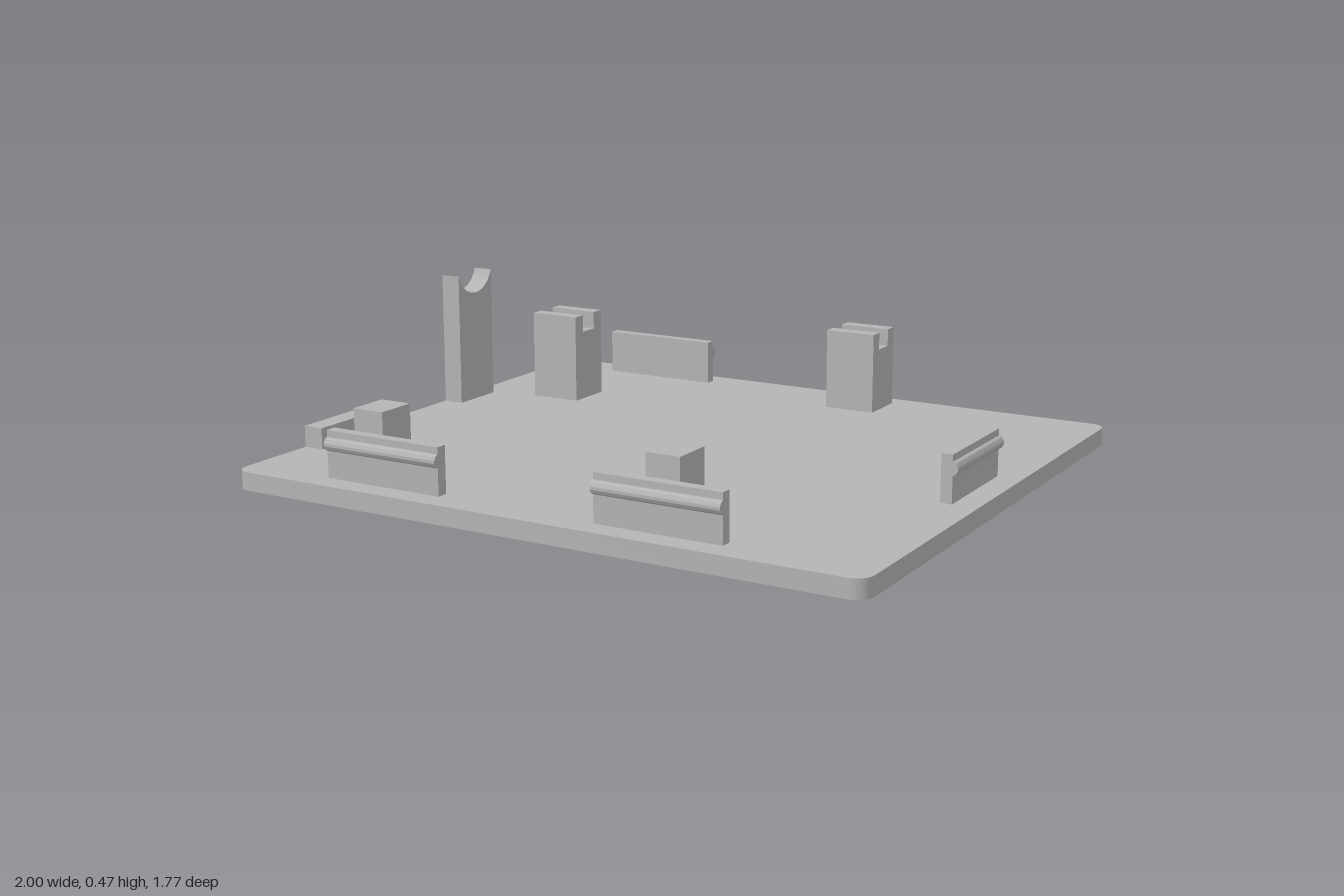
import * as THREE from 'three';
import { toCreasedNormals } from 'three/addons/utils/BufferGeometryUtils.js';

const FLOOR = 0.055; // top of the base plate

export function createModel() {
  const group = new THREE.Group();
  const grey = new THREE.MeshStandardMaterial({ color: 0xb4b4b4 });
  grey.name = 'plasticGrey';

  const add = (name, geometry) => {
    const mesh = new THREE.Mesh(geometry, grey);
    mesh.name = name;
    group.add(mesh);
    return mesh;
  };

  // Extrudes a profile, centred along its length
  const extrude = (shape, length) => {
    const g = new THREE.ExtrudeGeometry(shape, { depth: length, bevelEnabled: false, curveSegments: 16 });
    g.translate(0, 0, -length / 2);
    return toCreasedNormals(g, 0.6);
  };

  // Block standing on the plate
  const block = (name, x0, x1, z0, z1, top) => {
    const h = top - FLOOR;
    add(name, new THREE.BoxGeometry(x1 - x0, h, z1 - z0))
      .position.set((x0 + x1) / 2, FLOOR + h / 2, (z0 + z1) / 2);
  };

  // Base plate with rounded corners
  const X = 1, Z = 0.885, R = 0.05;
  const plate = new THREE.Shape();
  plate.absarc(X - R, Z - R, R, 0, Math.PI / 2);
  plate.absarc(-X + R, Z - R, R, Math.PI / 2, Math.PI);
  plate.absarc(-X + R, -Z + R, R, Math.PI, Math.PI * 1.5);
  plate.absarc(X - R, -Z + R, R, Math.PI * 1.5, Math.PI * 2);
  const base = add('basePlate', extrude(plate, FLOOR));
  base.rotation.x = -Math.PI / 2;
  base.position.y = FLOOR / 2;

  // Snap clips: thin wall with a rounded bead on the outer face
  const clip = (name, x, z, length, turn) => {
    const s = new THREE.Shape();
    s.moveTo(0, FLOOR);
    s.lineTo(0.034, FLOOR);
    s.lineTo(0.034, 0.133);
    s.absarc(0.029, 0.155, 0.0205, -1.32, 1.32);
    s.lineTo(0.034, 0.177);
    s.lineTo(0.034, 0.195);
    s.lineTo(0, 0.195);
    const mesh = add(name, extrude(s, length));
    mesh.position.set(x, 0, z);
    mesh.rotation.y = turn;
  };
  clip('frontClipRight', -0.517, 0.78, 0.388, -Math.PI / 2);
  clip('frontClipLeft', 0.375, 0.78, 0.388, -Math.PI / 2);
  clip('backClip', -0.575, -0.787, 0.388, Math.PI / 2);
  clip('sideClip', 0.89, 0.012, 0.335, 0);

  // Slotted posts
  const post = (name, x, z, top) => {
    const w = 0.077, n = 0.033, low = top - 0.055;
    const s = new THREE.Shape([
      [-w, FLOOR], [w, FLOOR], [w, top], [n, top],
      [n, low], [-n, low], [-n, top], [-w, top],
    ].map(([a, b]) => new THREE.Vector2(a, b)));
    const mesh = add(name, extrude(s, 0.165));
    mesh.position.set(x, 0, z);
    mesh.rotation.y = -Math.PI / 2;
  };
  post('slottedPostSide', -0.707, -0.412, 0.335);
  post('slottedPostBack', 0.209, -0.748, 0.31);

  // Tall cradle with a concave top
  const w = 0.089, top = 0.475, r = 0.094;
  const cy = 0.41 + r, a = Math.asin(w / r);
  const s = new THREE.Shape();
  s.moveTo(-w, FLOOR);
  s.lineTo(w, FLOOR);
  s.lineTo(w, top);
  s.absarc(0, cy, r, -Math.PI / 2 + a, -Math.PI / 2 - a, true);
  const cradle = add('cradle', extrude(s, 0.065));
  cradle.position.set(-0.967, 0, -0.21);
  cradle.rotation.y = -Math.PI / 2;

  // Low edge block and two spacer cubes
  block('edgeBlock', -1, -0.935, 0.25, 0.577, 0.12);
  block('spacerRight', -0.888, -0.78, 0.348, 0.482, 0.168);
  block('spacerLeft', 0.139, 0.25, 0.348, 0.482, 0.168);

  return group;
}
